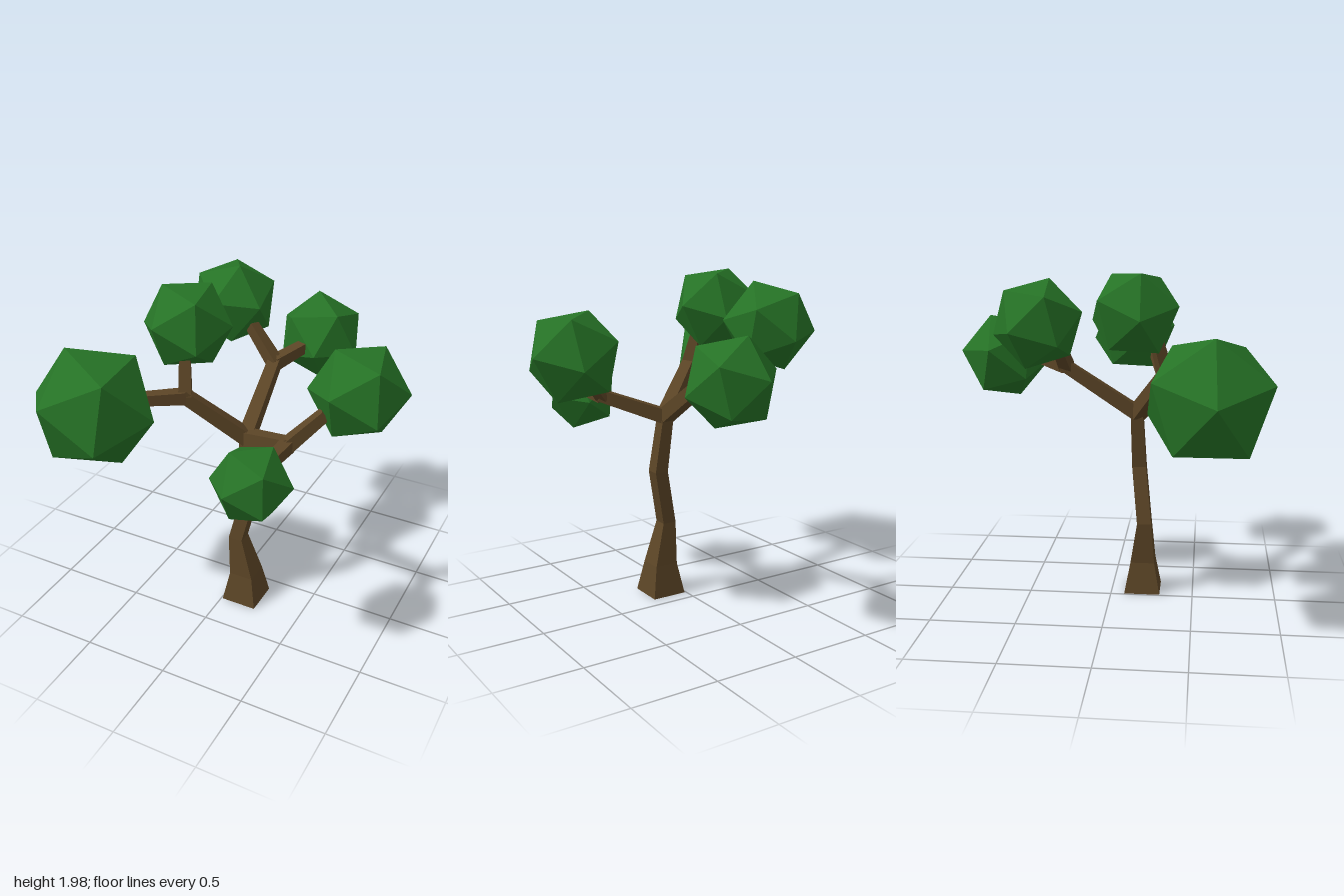
import * as THREE from 'three';

const V = (a) => new THREE.Vector3(a[0], a[1], a[2]);
const bark = new THREE.MeshStandardMaterial({ color: 0x5c4526, flatShading: true });
const leaf = new THREE.MeshStandardMaterial({ color: 0x267326, flatShading: true });

// Square-section limb lofted through points [x, y, z, halfWidth]
function limb(name, pts, upright = false) {
  const centres = pts.map(V);
  const rings = centres.map((c, i) => {
    const t = upright ? new THREE.Vector3(0, 1, 0)
      : centres[Math.min(i + 1, pts.length - 1)].clone().sub(centres[Math.max(i - 1, 0)]).normalize();
    const u = upright ? new THREE.Vector3(0, 0, 1)
      : new THREE.Vector3(0, 1, 0).cross(t).normalize();
    const v = t.clone().cross(u);
    return [[-1, -1], [1, -1], [1, 1], [-1, 1]].map(([a, b]) =>
      c.clone().addScaledVector(u, a * pts[i][3]).addScaledVector(v, b * pts[i][3]));
  });
  const tris = [];
  const quad = (a, b, c, d) => tris.push(a, b, c, a, c, d);
  for (let i = 0; i < rings.length - 1; i++) {
    for (let j = 0; j < 4; j++) {
      const k = (j + 1) % 4;
      quad(rings[i][j], rings[i][k], rings[i + 1][k], rings[i + 1][j]);
    }
  }
  quad(...[...rings[0]].reverse());
  quad(...rings[rings.length - 1]);
  const geometry = new THREE.BufferGeometry().setFromPoints(tris);
  geometry.computeVertexNormals();
  const mesh = new THREE.Mesh(geometry, bark);
  mesh.name = name;
  return mesh;
}

// Orthonormal basis from two neighbouring corner directions
function basis(a, b) {
  const x = V(a).normalize();
  const z = x.clone().cross(V(b)).normalize();
  return new THREE.Matrix4().makeBasis(x, z.clone().cross(x), z);
}

// Icosahedral leaf clump, turned so two neighbouring corners point along a and b
function clump(name, centre, radius, a, b) {
  const phi = (1 + Math.sqrt(5)) / 2;
  const turn = basis(a, b).multiply(basis([0, 1, phi], [0, -1, phi]).transpose());
  const mesh = new THREE.Mesh(new THREE.IcosahedronGeometry(radius, 0), leaf);
  mesh.quaternion.setFromRotationMatrix(turn);
  mesh.position.set(...centre);
  mesh.name = name;
  return mesh;
}

export function createModel() {
  const tree = new THREE.Group();
  tree.name = 'tree';

  // Crooked trunk with a flared foot
  tree.add(limb('trunk', [
    [0.118, 0, 0.19, 0.108], [0.117, 0.19, 0.19, 0.073], [0.07, 0.445, 0.2, 0.043],
    [0.145, 0.785, 0.162, 0.042], [0.105, 1.09, 0.15, 0.037], [0.1, 1.17, 0.148, 0.034],
  ], true));

  // Each bough rises from the fork and splits into two twigs
  const fork = [0.1, 1.12, 0.15];
  const boughs = [
    { name: 'right', node: [-0.19, 1.4, 0.33], tips: [[-0.42, 1.4, 0.49], [-0.22, 1.62, 0.27]] },
    { name: 'back', node: [0.07, 1.4, -0.27], tips: [[-0.11, 1.6, -0.31], [0.18, 1.45, -0.48]] },
    { name: 'left', node: [0.43, 1.25, 0.31], tips: [[0.6, 1.44, 0.22], [0.42, 1.25, 0.54]] },
  ];
  for (const { name, node, tips } of boughs) {
    const end = V(node).lerp(V(fork), -0.06).toArray();
    tree.add(limb(name + 'Bough', [[...fork, 0.042], [...end, 0.035]]));
    tips.forEach((tip, i) =>
      tree.add(limb(`${name}Twig${i + 1}`, [[...node, 0.037], [...tip, 0.03]])));
  }

  // Leaf clumps at the twig ends
  tree.add(
    clump('rightLeaves', [-0.633, 1.343, 0.578], 0.37, [0.36, -0.02, -0.035], [0.195, 0.255, 0.184]),
    clump('leftLeaves', [0.728, 1.536, 0.082], 0.277, [0.267, 0.013, -0.067], [0.177, -0.09, 0.193]),
    clump('frontLeaves', [0.392, 1.206, 0.675], 0.225, [0.217, 0.005, -0.048], [0.135, 0.134, 0.12]),
    clump('topLeaves', [-0.26, 1.752, 0.16], 0.262, [0.254, 0.02, -0.043], [0.163, -0.08, 0.193]),
    clump('backRightLeaves', [-0.257, 1.69, -0.385], 0.262, [-0.01, 0.065, 0.25], [0.07, 0.25, 0.05]),
    clump('backLeaves', [0.193, 1.445, -0.662], 0.265, [-0.05, 0.25, -0.077], [-0.064, 0.034, -0.25]),
  );
  return tree;
}
